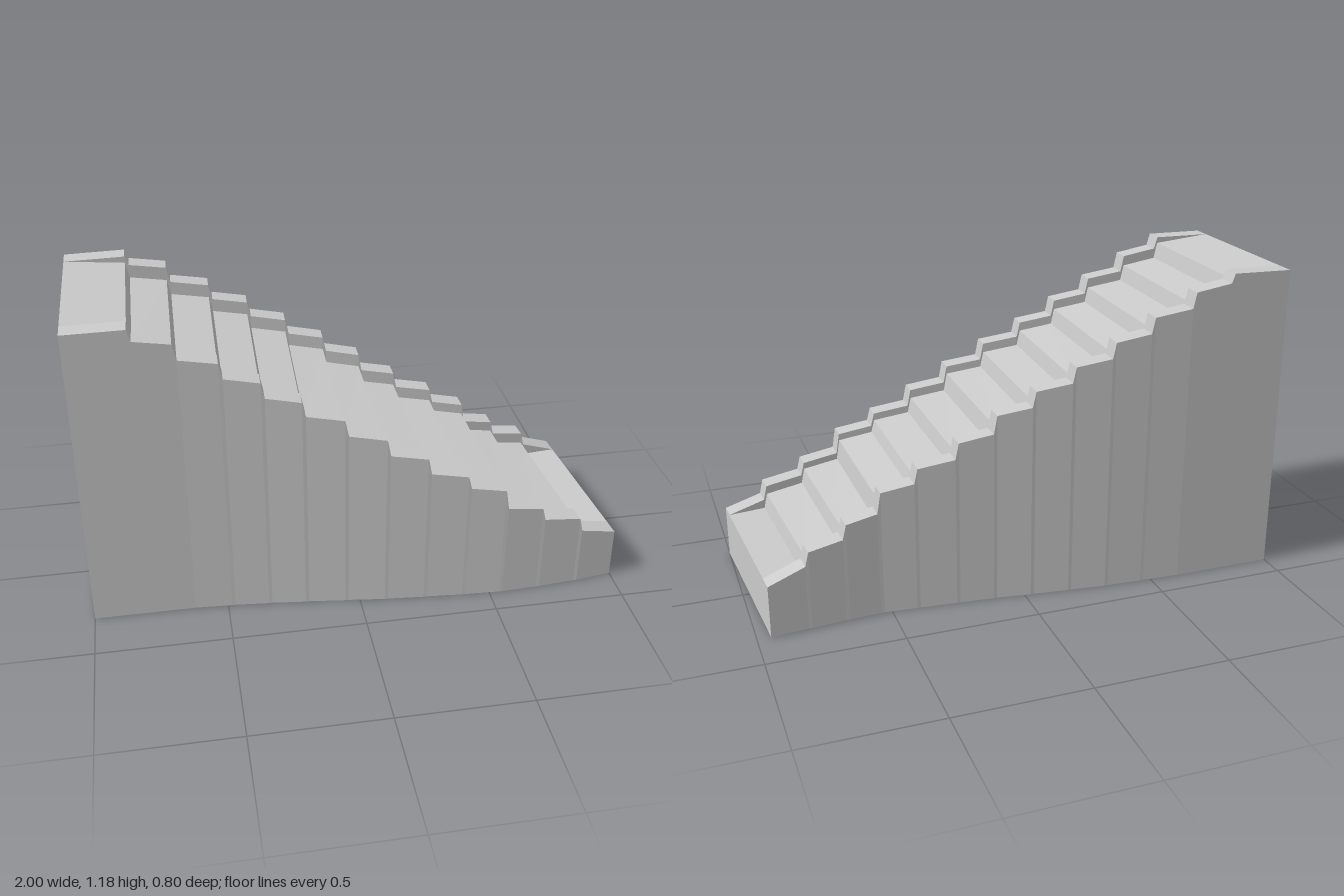
import * as THREE from 'three';

const CURB = 0.07;
// one row per riser: front x, front z, back x, back z, front curb y, back curb y, step y (after the riser)
const RISERS = [
  [-0.775, 0.30, -0.77, -0.40, 1.138, 1.15, 1.10],
  [-0.63, 0.30, -0.62, -0.40, 1.056, 1.07, 1.02],
  [-0.48, 0.308, -0.465, -0.393, 0.975, 0.99, 0.94],
  [-0.34, 0.32, -0.32, -0.385, 0.893, 0.91, 0.86],
  [-0.20, 0.335, -0.175, -0.37, 0.815, 0.83, 0.78],
  [-0.05, 0.352, -0.03, -0.353, 0.73, 0.75, 0.70],
  [0.10, 0.37, 0.11, -0.335, 0.643, 0.66, 0.61],
  [0.25, 0.382, 0.25, -0.323, 0.558, 0.577, 0.53],
  [0.40, 0.393, 0.40, -0.31, 0.486, 0.50, 0.46],
  [0.545, 0.40, 0.535, -0.30, 0.385, 0.40, 0.36],
  [0.695, 0.393, 0.665, -0.308, 0.313, 0.323, 0.28],
  [0.852, 0.38, 0.805, -0.32, 0.235, 0.248, 0.20],
];

// cross-section: front wall, front curb, step, back curb, back wall
function section(fx, fz, bx, bz, frontY, backY, stepY) {
  const front = new THREE.Vector3(fx, 0, fz), back = new THREE.Vector3(bx, 0, bz);
  const t = CURB / (fz - bz);
  const at = (s, y) => front.clone().lerp(back, s).setY(y);
  return [at(0, 0), at(0, frontY), at(t, frontY), at(t, stepY),
    at(1 - t, stepY), at(1 - t, backY), at(1, backY), at(1, 0)];
}

function makeSections() {
  const list = [section(-1, 0.30, -1, -0.40, 1.18, 1.18, 1.18)];
  let prev = null;
  for (const [fx, fz, bx, bz, f, b, s] of RISERS) {
    // each tread slopes down a little towards its leading edge
    const [pf, pb, ps] = prev ? prev.map((y) => y - 0.021) : [1.183, 1.185, 1.16];
    list.push(section(fx - 0.006, fz, bx - 0.006, bz, pf, pb, ps));
    list.push(section(fx + 0.007, fz, bx + 0.007, bz, f, b, s));
    prev = [f, b, s];
  }
  list.push(section(1, 0.36, 0.95, -0.335, 0.20, 0.20, 0.20));
  return list;
}

function createModel() {
  const group = new THREE.Group();
  const material = new THREE.MeshStandardMaterial({ color: 0xcccccc, flatShading: true });
  const sections = makeSections();
  const first = sections[0], last = sections[sections.length - 1];

  // lofts the chosen sides of the cross-section along the stair
  function addPart(name, sides, extraQuads = []) {
    const points = [];
    const quad = (a, b, c, d) => points.push(a, b, c, a, c, d);
    for (const i of sides) {
      const j = (i + 1) % 8;
      for (let k = 0; k + 1 < sections.length; k++) {
        const p = sections[k], q = sections[k + 1];
        quad(p[i], q[i], q[j], p[j]);
      }
    }
    extraQuads.forEach((q) => quad(...q));
    const geometry = new THREE.BufferGeometry().setFromPoints(points);
    geometry.computeVertexNormals();
    const mesh = new THREE.Mesh(geometry, material);
    mesh.name = name;
    group.add(mesh);
  }

  // side walls, underside and both end walls
  addPart('base', [0, 6, 7], [
    [first[7], first[0], first[1], first[6]],
    [last[0], last[7], last[6], last[1]],
  ]);
  addPart('steps', [3]);
  addPart('frontCurb', [1, 2]);
  addPart('backCurb', [4, 5]);

  group.name = 'curvedStaircase';
  return group;
}

export { createModel };
